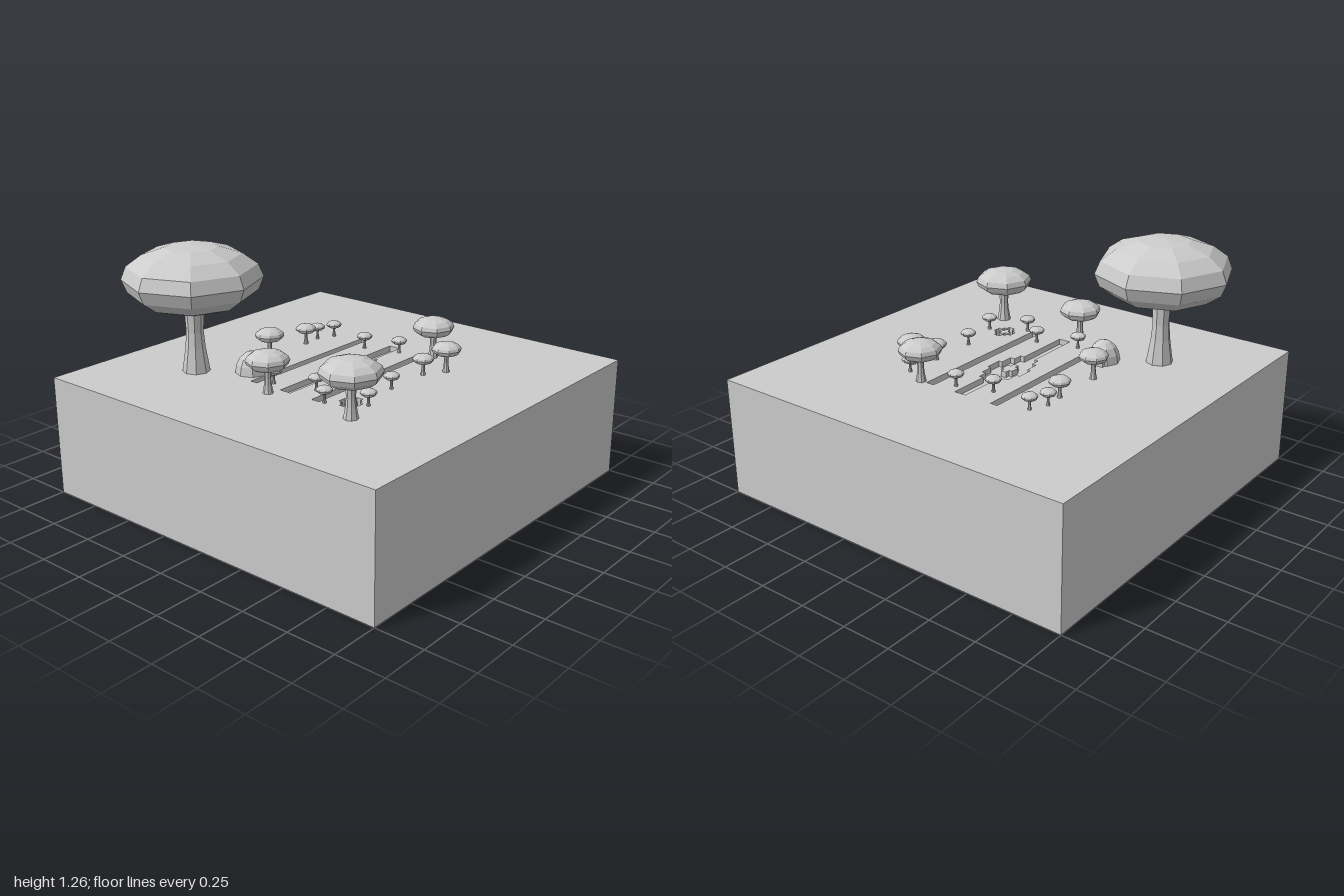
import * as THREE from 'three';

const GROUND = 0.615;
const solid = new THREE.MeshStandardMaterial({ color: 0xcccccc, flatShading: true });
const open = new THREE.MeshStandardMaterial({ color: 0xcccccc, flatShading: true, side: THREE.DoubleSide });

function add(parent, name, geometry, material, x = 0, y = 0, z = 0) {
  const mesh = new THREE.Mesh(geometry, material);
  mesh.name = name;
  mesh.position.set(x, y, z);
  parent.add(mesh);
  return mesh;
}

const rect = (x0, z0, x1, z1) =>
  [[x0, z0], [x1, z0], [x1, z1], [x0, z1]].map(([x, z]) => new THREE.Vector2(x, z));

// Blocky symmetrical outline: each step is [half width, half depth]
function stepped(cx, cz, steps, minX = -1, maxX = 1) {
  const q = [];
  steps.forEach(([a, b], i) => {
    q.push([a, b]);
    if (i < steps.length - 1) q.push([a, steps[i + 1][1]]);
  });
  const r = [...q].reverse();
  return [
    ...q, ...r.map(([a, b]) => [a, -b]),
    ...q.map(([a, b]) => [-a, -b]), ...r.map(([a, b]) => [-a, b]),
  ].map(([a, b]) => new THREE.Vector2(THREE.MathUtils.clamp(cx + a, minX, maxX), cz + b));
}

// Flat horizontal sheet with holes
function sheet(outline, holes = []) {
  const shape = new THREE.Shape(outline);
  shape.holes = holes.map((h) => new THREE.Path(h));
  return new THREE.ShapeGeometry(shape).rotateX(Math.PI / 2);
}

// Vertical band around an outline
function band(outline, y0, y1) {
  const pos = [];
  outline.forEach((p, i) => {
    const n = outline[(i + 1) % outline.length];
    pos.push(p.x, y0, p.y, n.x, y0, n.y, n.x, y1, n.y, p.x, y0, p.y, n.x, y1, n.y, p.x, y1, p.y);
  });
  const g = new THREE.BufferGeometry();
  g.setAttribute('position', new THREE.Float32BufferAttribute(pos, 3));
  g.computeVertexNormals();
  return g;
}

function mushroom(parent, x, z, r, capY, capH) {
  const g = new THREE.Group();
  g.name = 'mushroom';
  g.position.set(x, GROUND, z);
  const top = capY - GROUND;
  add(g, 'cap', new THREE.SphereGeometry(1, 8, 8).scale(r, capH, r), solid, 0, top, 0);
  // Flared stem reaching just inside the cap
  const s = r > 0.3 ? 0.2 : 0.24;
  const h = top - capH * 0.8;
  const profile = [[s, 0], [s * 0.72, 0.36], [s * 0.62, 0.6], [s * 0.68, 0.85], [s * 0.72, 1]]
    .map(([a, t]) => new THREE.Vector2(a * r, t * h));
  add(g, 'stem', new THREE.LatheGeometry(profile, 8), open);
  parent.add(g);
}

export function createModel() {
  const model = new THREE.Group();
  model.name = 'mushroomGarden';

  // Hollow block, open underneath, with sunken channels in its top
  const land = new THREE.Group();
  land.name = 'land';
  model.add(land);
  const edge = rect(-1, -1, 1, 1);
  const recesses = [
    { name: 'backChannel', outline: rect(-0.42, -0.225, 0.435, -0.185), depth: 0.03 },
    { name: 'frontChannel', outline: rect(-0.42, 0.165, 0.435, 0.21), depth: 0.03 },
    {
      name: 'pond', depth: 0.03,
      outline: stepped(0.055, 0, [[0.045, 0.1], [0.115, 0.08], [0.165, 0.055], [0.49, 0.032]], -0.42, 0.435),
      island: stepped(0.05, 0, [[0.025, 0.032], [0.052, 0.015]]),
    },
    {
      name: 'smallPool', depth: 0.1,
      outline: stepped(-0.33, 0.33, [[0.022, 0.055], [0.042, 0.035], [0.064, 0.018]]),
      island: stepped(-0.33, 0.33, [[0.012, 0.03], [0.032, 0.012]]),
    },
  ];
  add(land, 'sides', band(edge, 0, GROUND), open);
  add(land, 'top', sheet(edge, recesses.map((r) => r.outline)), open, 0, GROUND, 0);
  for (const { name, outline, island, depth } of recesses) {
    const floorY = GROUND - depth;
    add(land, name + 'Floor', sheet(outline, island ? [island] : []), open, 0, floorY, 0);
    add(land, name + 'Wall', band(outline, floorY, GROUND), open);
    if (island) {
      add(land, name + 'IslandWall', band(island, floorY, GROUND), open);
      add(land, name + 'Island', sheet(island), open, 0, GROUND, 0);
    }
  }

  // Chamber hanging beneath the ground
  const chamber = stepped(-0.42, 0.08, [[0.06, 0.2], [0.11, 0.15], [0.15, 0.08]]);
  add(land, 'chamberWall', band(chamber, GROUND - 0.13, GROUND - 0.035), open);
  add(land, 'chamberFloor', sheet(chamber), open, 0, GROUND - 0.13, 0);

  // Domed hut with a doorway block
  const hut = new THREE.Group();
  hut.name = 'hut';
  hut.position.set(-0.32, GROUND, -0.31);
  add(hut, 'dome', new THREE.SphereGeometry(1, 8, 4, 0, Math.PI * 2, 0, Math.PI / 2).scale(0.085, 0.11, 0.085), open);
  add(hut, 'doorway', new THREE.BoxGeometry(0.05, 0.045, 0.06), solid, 0.06, 0.0225, -0.02);
  model.add(hut);

  // Larger mushrooms: x, z, cap radius, cap height, cap half thickness
  [
    [-0.48, -0.54, 0.345, 1.09, 0.168],
    [-0.485, 0.455, 0.15, 0.835, 0.07],
    [-0.485, -0.05, 0.107, 0.777, 0.052],
    [0.435, 0.245, 0.107, 0.777, 0.052],
    [-0.095, -0.4, 0.075, 0.733, 0.036],
    [0.295, 0.425, 0.075, 0.733, 0.036],
    [0.185, -0.4, 0.055, 0.698, 0.026],
    [0.185, 0.365, 0.055, 0.698, 0.026],
  ].forEach((m) => mushroom(model, ...m));

  // Smallest mushrooms
  [
    [0.29, -0.41], [0.38, -0.37], [0.325, -0.115], [0.38, 0.07], [0.38, 0.365],
    [-0.07, 0.365], [-0.315, 0.42], [-0.315, 0.105], [-0.415, 0.24], [-0.375, -0.115],
  ].forEach(([x, z]) => mushroom(model, x, z, 0.041, 0.68, 0.02));

  return model;
}
